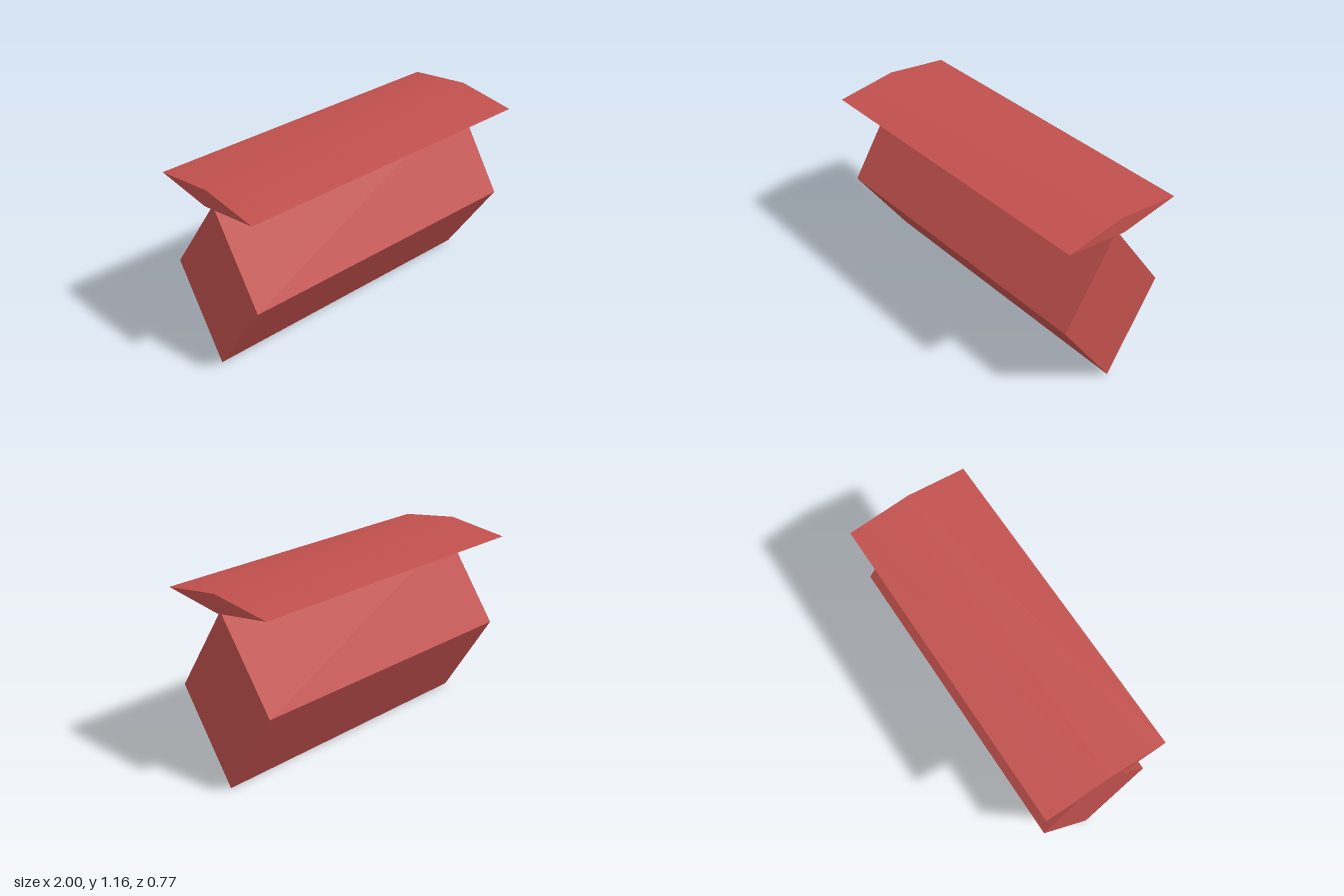
import * as THREE from 'three';
import { toCreasedNormals } from 'three/addons/utils/BufferGeometryUtils.js';

// Prism running along x, from a [z, y] cross-section
function prism(name, section, length, material) {
  const shape = new THREE.Shape(section.map(([z, y]) => new THREE.Vector2(-z, y)));
  const geometry = new THREE.ExtrudeGeometry(shape, { depth: length, bevelEnabled: false });
  geometry.translate(0, 0, -length / 2).rotateY(Math.PI / 2);
  // the shallow ridges stay soft, all steeper edges sharp
  const mesh = new THREE.Mesh(toCreasedNormals(geometry, 0.5), material);
  mesh.name = name;
  return mesh;
}

export function createModel() {
  const group = new THREE.Group();
  group.name = 'roofedDiamondBlock';
  const red = new THREE.MeshStandardMaterial({ color: 0xc0504d });
  red.name = 'brickRed';

  // Upright diamond body, very slightly tilted
  group.add(prism('body', [[0.01, 1.053], [0.35, 0.528], [-0.01, 0], [-0.35, 0.54]], 1.93, red));

  // Flat diamond cap resting on the upper edge
  group.add(prism('cap', [[0.01, 1.159], [0.385, 1.107], [-0.01, 1.055], [-0.385, 1.109]], 2, red));

  return group;
}
